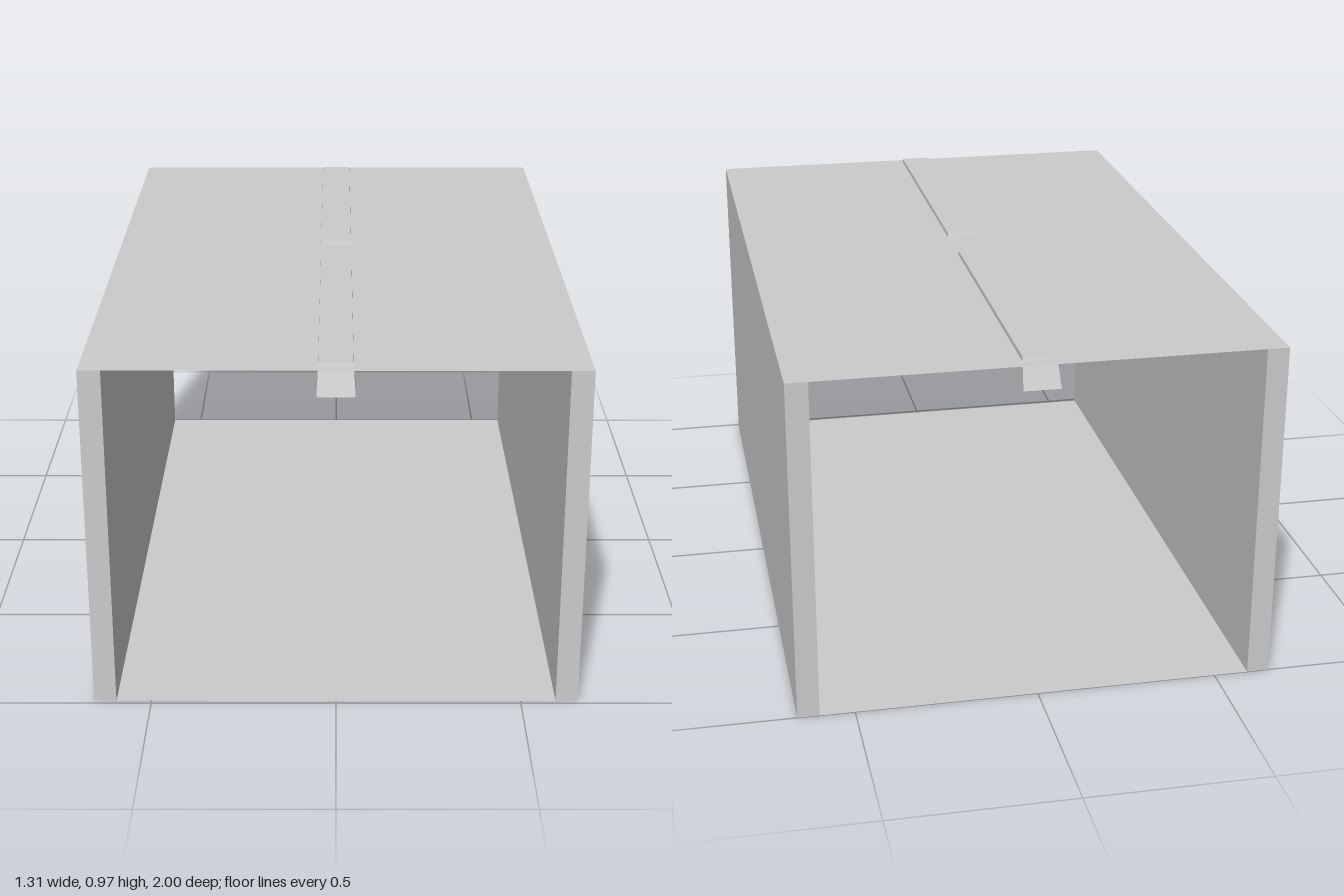
import * as THREE from 'three';

const material = new THREE.MeshStandardMaterial({ color: 0xcccccc });
const sheetMaterial = new THREE.MeshStandardMaterial({ color: 0xcccccc, side: THREE.DoubleSide });

const HALF_WIDTH = 0.655, WALL = 0.06, HEIGHT = 0.958;
const BACK = -1, FRONT = 0.988;
const LENGTH = FRONT - BACK, MID_Z = (FRONT + BACK) / 2;

// Lamp housing: flared towards its open underside
const LAMP = { bottom: 0.89, top: 0.97, halfX: 0.05, halfZ: 0.475, insetX: 0.005, insetZ: 0.04, tray: 0.018 };

function add(group, name, geometry, mat = material) {
  const mesh = new THREE.Mesh(geometry, mat);
  mesh.name = name;
  group.add(mesh);
  return mesh;
}

// Narrow the upper vertices so that all four sides slope inwards
function flare(geometry) {
  const p = geometry.attributes.position;
  for (let i = 0; i < p.count; i++) {
    const t = (p.getY(i) - LAMP.bottom) / (LAMP.top - LAMP.bottom);
    p.setX(i, p.getX(i) * (1 - t * LAMP.insetX / LAMP.halfX));
    p.setZ(i, p.getZ(i) * (1 - t * LAMP.insetZ / LAMP.halfZ));
  }
  geometry.computeVertexNormals();
  return geometry;
}

function rectangle(Type, x0, x1, z) {
  const r = new Type();
  r.moveTo(x0, -z).lineTo(x1, -z).lineTo(x1, z).lineTo(x0, z).closePath();
  return r;
}

function createLamp() {
  const lamp = new THREE.Group();
  const { bottom, top, halfX, halfZ, tray } = LAMP;

  const bodyHeight = top - bottom - tray;
  const body = new THREE.BoxGeometry(halfX * 2, bodyHeight, halfZ * 2);
  body.translate(0, top - bodyHeight / 2, 0);
  add(lamp, 'lampHousing', flare(body));

  // Underside frame with two long slots
  const frame = rectangle(THREE.Shape, -halfX, halfX, halfZ);
  for (const x of [-0.024, 0.024]) {
    frame.holes.push(rectangle(THREE.Path, x - 0.014, x + 0.014, halfZ - 0.02));
  }
  const frameGeometry = new THREE.ExtrudeGeometry(frame, { depth: tray, bevelEnabled: false });
  frameGeometry.rotateX(-Math.PI / 2).translate(0, bottom, 0);
  add(lamp, 'lampSlots', flare(frameGeometry));
  return lamp;
}

export function createModel() {
  const model = new THREE.Group();
  model.name = 'openEndedTunnel';

  // Thick side walls
  for (const [name, side] of [['leftWall', 1], ['rightWall', -1]]) {
    const wall = add(model, name, new THREE.BoxGeometry(WALL, HEIGHT, LENGTH));
    wall.position.set(side * (HALF_WIDTH - WALL / 2), HEIGHT / 2, MID_Z);
  }

  // Thin floor and roof sheets
  for (const [name, y] of [['floor', 0], ['roof', HEIGHT]]) {
    const sheet = new THREE.PlaneGeometry(HALF_WIDTH * 2, LENGTH).rotateX(-Math.PI / 2);
    add(model, name, sheet, sheetMaterial).position.set(0, y, MID_Z);
  }

  // Two ceiling lamps in line, their tops standing just above the roof
  for (const [name, side] of [['frontLamp', 1], ['backLamp', -1]]) {
    const lamp = createLamp();
    lamp.name = name;
    lamp.position.z = side * (1 - LAMP.halfZ);
    model.add(lamp);
  }
  return model;
}
